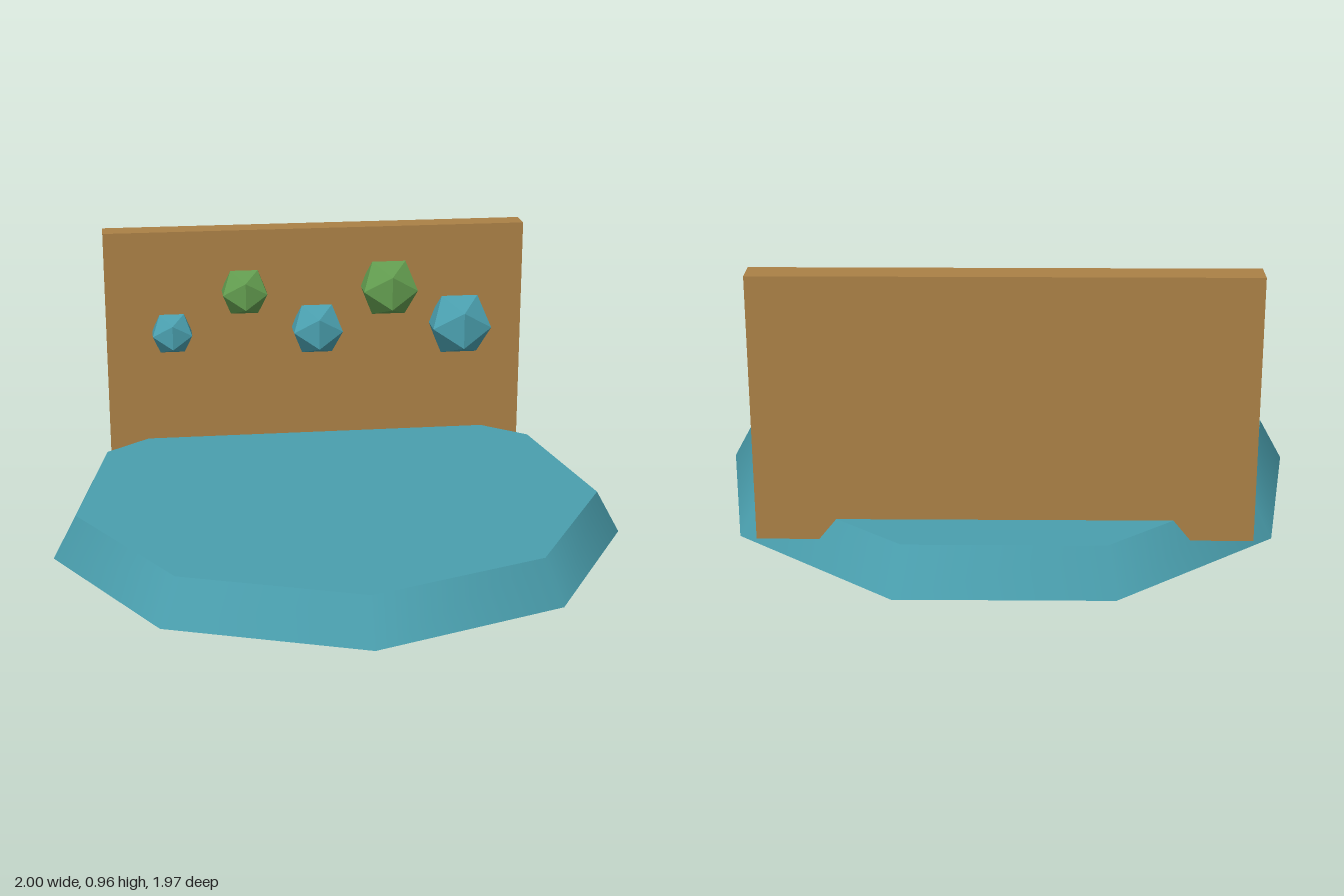
import * as THREE from 'three';

const TEAL = new THREE.MeshStandardMaterial({ color: 0x4a9fae });
const WOOD = new THREE.MeshStandardMaterial({ color: 0xaa8046 });
const TEAL_FLAT = new THREE.MeshStandardMaterial({ color: 0x4a9fae, flatShading: true });
const GREEN_FLAT = new THREE.MeshStandardMaterial({ color: 0x629c4f, flatShading: true });

function addMesh(parent, name, geometry, material, x, y, z) {
  const mesh = new THREE.Mesh(geometry, material);
  mesh.name = name;
  mesh.position.set(x, y, z);
  parent.add(mesh);
  return mesh;
}

export function createModel() {
  const model = new THREE.Group();
  model.name = 'displayStand';

  // Nine-sided tapered base with one corner pointing to the front
  addMesh(model, 'base', new THREE.CylinderGeometry(0.933, 1.0154, 0.15, 9), TEAL, 0, 0.075, -0.031);

  // Upright board near the back, sunk into the base
  addMesh(model, 'backBoard', new THREE.BoxGeometry(1.59, 0.88, 0.095), WOOD, 0, 0.52, -0.677);

  // Row of gems growing from right to left, alternating low teal and high green
  const gems = new THREE.Group();
  gems.name = 'gems';
  model.add(gems);
  for (let i = 0; i < 5; i++) {
    const high = i % 2 === 1;
    addMesh(gems, `gem${i + 1}`, new THREE.IcosahedronGeometry(0.0865 + i * 0.0112, 0),
      high ? GREEN_FLAT : TEAL_FLAT, (i - 2) * 0.2745, high ? 0.73 : 0.578, -0.597);
  }
  return model;
}
